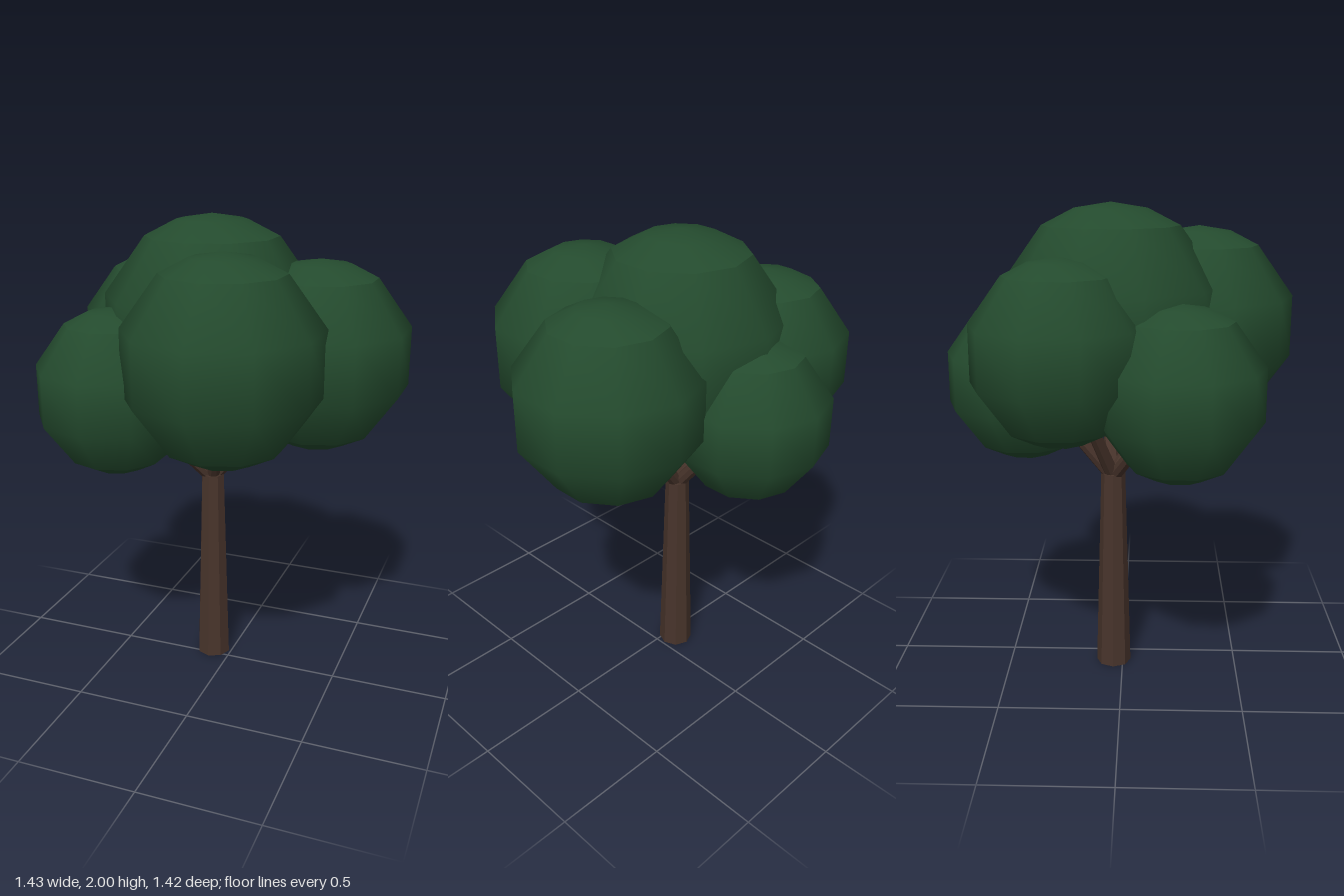
import * as THREE from 'three';
import { mergeVertices } from 'three/addons/utils/BufferGeometryUtils.js';

const leafGreen = new THREE.MeshStandardMaterial({ name: 'leafGreen', color: 0x244b2e });
const barkBrown = new THREE.MeshStandardMaterial({ name: 'barkBrown', color: 0x48342b, flatShading: true });

// A band of a ten-sided ball, smooth inside and sharp along its rims
function ballBand(rows, from, to) {
  const g = new THREE.SphereGeometry(1, 10, rows, Math.PI / 2, Math.PI * 2, from * Math.PI / 5, (to - from) * Math.PI / 5);
  g.deleteAttribute('normal');
  g.deleteAttribute('uv');
  const merged = mergeVertices(g, 1e-4);
  merged.computeVertexNormals();
  return merged;
}

// Tapered eight-sided limb between two points
function limb(name, a, b, rBottom, rTop) {
  const dir = b.clone().sub(a);
  const mesh = new THREE.Mesh(new THREE.CylinderGeometry(rTop, rBottom, dir.length(), 8), barkBrown);
  mesh.name = name;
  mesh.position.copy(a).add(b).multiplyScalar(0.5);
  mesh.quaternion.setFromUnitVectors(new THREE.Vector3(0, 1, 0), dir.normalize());
  return mesh;
}

export function createModel() {
  const tree = new THREE.Group();
  tree.name = 'tree';

  // Trunk
  const foot = new THREE.Vector3(-0.085, 0, -0.04);
  const fork = new THREE.Vector3(-0.085, 0.885, -0.04);
  tree.add(limb('trunk', foot, fork, 0.075, 0.051));

  // Foliage clumps: name, centre, radius
  const clumps = [
    ['crownTop', -0.085, 1.53, -0.047, 0.47],
    ['crownFront', 0.096, 1.485, 0.312, 0.415],
    ['crownLeft', 0.36, 1.44, -0.107, 0.392],
    ['crownFrontRight', -0.405, 1.302, 0.228, 0.344],
    ['crownBackRight', -0.39, 1.454, -0.233, 0.36],
    ['crownBack', -0.13, 1.307, -0.394, 0.333],
  ];
  const bands = [
    ['topCap', ballBand(1, 0, 1)],
    ['body', ballBand(3, 1, 4)],
    ['bottomCap', ballBand(1, 4, 5)],
  ];
  const branchStart = fork.clone().setY(0.865);

  clumps.forEach(([name, x, y, z, r], i) => {
    const clump = new THREE.Group();
    clump.name = name;
    clump.position.set(x, y, z);
    clump.scale.setScalar(r);
    for (const [part, geometry] of bands) {
      const mesh = new THREE.Mesh(geometry, leafGreen);
      mesh.name = part;
      clump.add(mesh);
    }
    tree.add(clump);

    // Branch reaching into each outer clump
    if (i > 0) tree.add(limb(name + 'Branch', branchStart, clump.position.clone(), 0.03, 0.022));
  });

  return tree;
}
